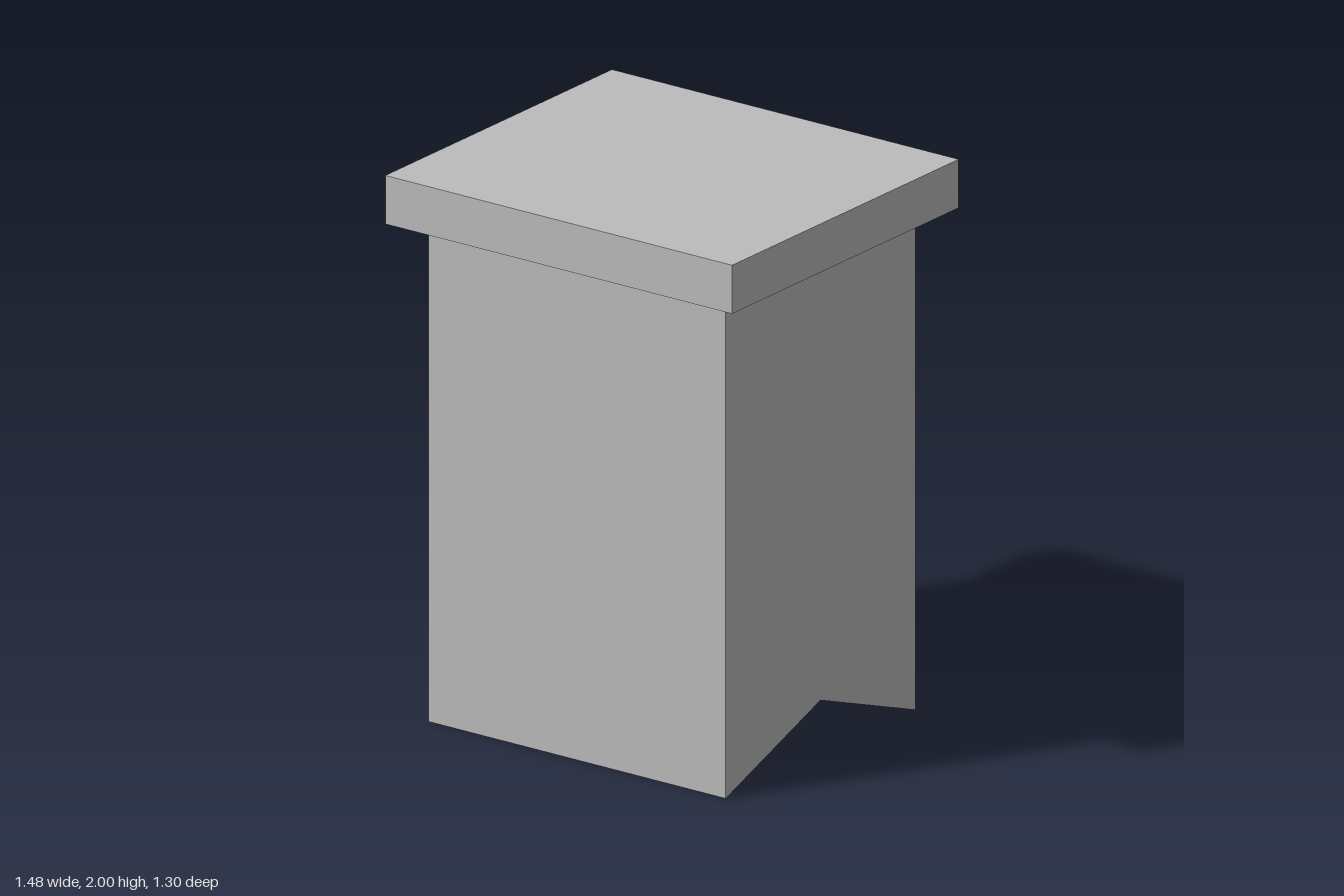
import * as THREE from 'three';

const W = 0.633, D = 0.543, TOP = 1.82, NOTCH = 0.197;
const CAP = 0.177;

export function createModel() {
  const model = new THREE.Group();
  model.name = 'chimney';
  const grey = new THREE.MeshStandardMaterial({ color: 0xbcbcbc, side: THREE.DoubleSide });
  grey.name = 'lightGrey';

  const add = (name, geometry, x, y, z, turn = 0) => {
    const mesh = new THREE.Mesh(geometry, grey);
    mesh.name = name;
    mesh.position.set(x, y, z);
    mesh.rotation.y = turn;
    model.add(mesh);
  };

  // Slab on top
  add('cap', new THREE.BoxGeometry(1.478, CAP, 1.298), 0, 2 - CAP / 2, 0);

  // Side wall outline, notched below to sit over a roof ridge
  const gable = new THREE.Shape([
    [-D, 0], [0, NOTCH], [D, 0], [D, TOP], [-D, TOP],
  ].map(([x, y]) => new THREE.Vector2(x, y)));

  // Hollow shaft of four thin walls, open at the bottom
  add('frontWall', new THREE.PlaneGeometry(2 * W, TOP), 0, TOP / 2, D);
  add('backWall', new THREE.PlaneGeometry(2 * W, TOP), 0, TOP / 2, -D, Math.PI);
  add('leftWall', new THREE.ShapeGeometry(gable), W, 0, 0, Math.PI / 2);
  add('rightWall', new THREE.ShapeGeometry(gable), -W, 0, 0, -Math.PI / 2);

  return model;
}
